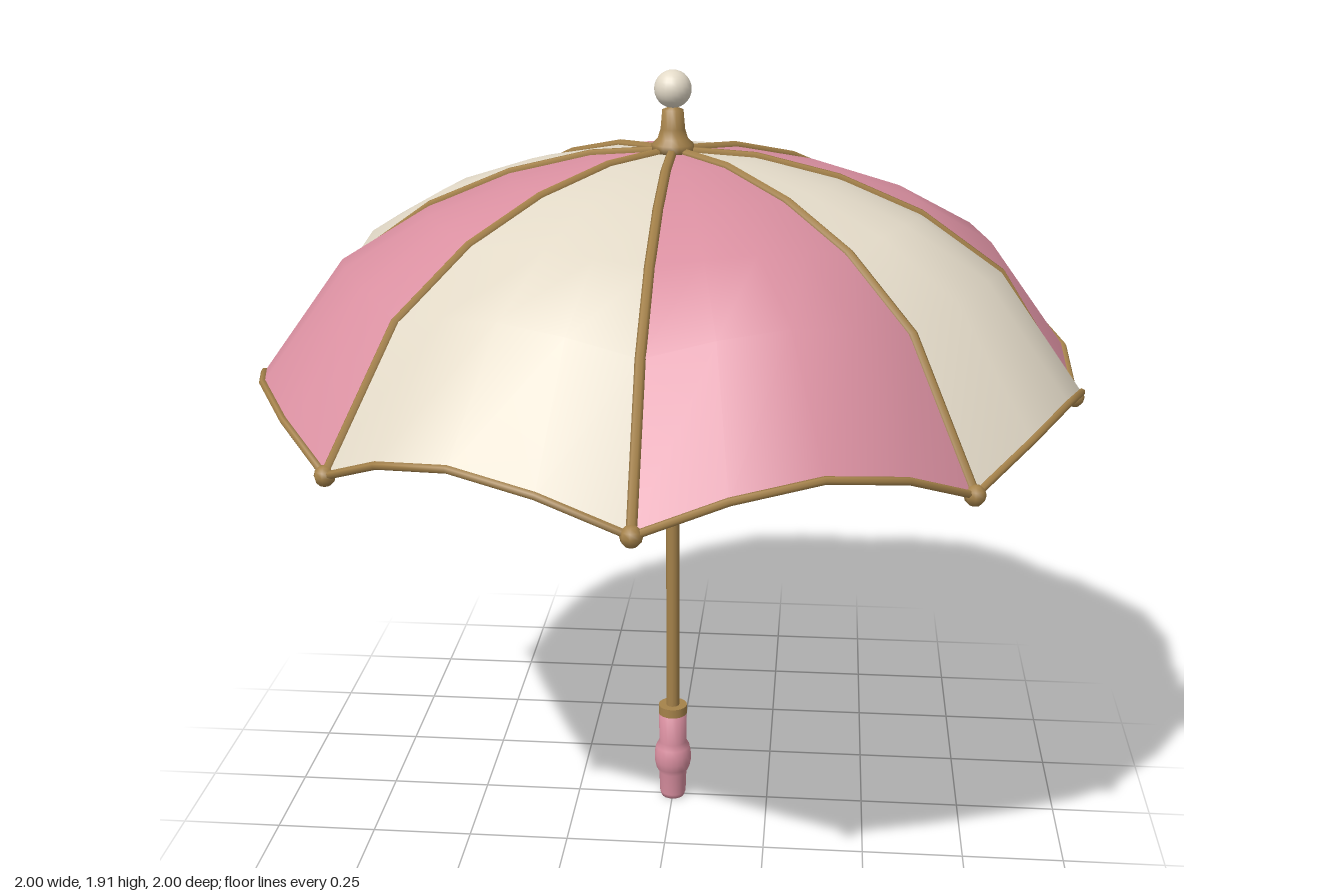
import * as THREE from 'three';

const PINK = 0xd98fa0, CREAM = 0xe3dac8, GOLD = 0xa5824a;
const PANELS = 8, STEP = (Math.PI * 2) / PANELS;
const RADIUS = 0.975, SCALLOP = 0.105;
// canopy height along a rib, at equal steps from crown to tip
const RIB_Y = [1.72, 1.707, 1.66, 1.578, 1.44, 1.135];
const RINGS = RIB_Y.length - 1;

const material = (color, side = THREE.FrontSide) => new THREE.MeshStandardMaterial({ color, side });
const pink = material(PINK), cream = material(CREAM), gold = material(GOLD);
const pinkCloth = material(PINK, THREE.DoubleSide), creamCloth = material(CREAM, THREE.DoubleSide);

// point on the canopy: panel index, u across the panel, t from crown to hem
function canopyPoint(panel, u, t) {
  const k = Math.min(Math.floor(t * RINGS), RINGS - 1);
  const y = THREE.MathUtils.lerp(RIB_Y[k], RIB_Y[k + 1], t * RINGS - k);
  const puff = Math.sin(Math.PI * u) * t ** 3;
  const r = RADIUS * t * (1 + 0.01 * puff);
  const a = (panel + u) * STEP;
  return new THREE.Vector3(Math.sin(a) * r, y + SCALLOP * puff, Math.cos(a) * r);
}

// curve sampled evenly in its own parameter
class RuleCurve extends THREE.Curve {
  constructor(rule) { super(); this.rule = rule; }
  getPoint(t) { return this.rule(t); }
  getPointAt(t) { return this.rule(t); }
  getTangentAt(t, target) { return this.getTangent(t, target); }
}

function add(parent, name, geometry, mat, x = 0, y = 0, z = 0) {
  const mesh = new THREE.Mesh(geometry, mat);
  mesh.name = name;
  mesh.position.set(x, y, z);
  parent.add(mesh);
  return mesh;
}

const tube = (rule, segments, radius) =>
  new THREE.TubeGeometry(new RuleCurve(rule), segments, radius, 6);

const lathe = (points, segments = 16) =>
  new THREE.LatheGeometry(points.map(([r, y]) => new THREE.Vector2(r, y)), segments);

function panelGeometry(panel) {
  const geometry = new THREE.PlaneGeometry(1, 1, 4, RINGS);
  const pos = geometry.attributes.position, uv = geometry.attributes.uv;
  for (let i = 0; i < pos.count; i++) {
    const p = canopyPoint(panel, uv.getX(i), 1 - uv.getY(i));
    pos.setXYZ(i, p.x, p.y, p.z);
  }
  geometry.computeVertexNormals();
  return geometry;
}

export function createModel() {
  const model = new THREE.Group();
  model.name = 'parasol';

  // canopy with its frame
  const canopy = new THREE.Group();
  canopy.name = 'canopy';
  model.add(canopy);
  for (let i = 0; i < PANELS; i++) {
    add(canopy, 'panel', panelGeometry(i), i % 2 ? creamCloth : pinkCloth);
    add(canopy, 'rib', tube((t) => canopyPoint(i, 0, t), RINGS, 0.012), gold);
    add(canopy, 'hem', tube((u) => canopyPoint(i, u, 1), 4, 0.009), gold);
    const tip = canopyPoint(i, 0, 1);
    add(canopy, 'ribTip', new THREE.SphereGeometry(0.024, 8, 6), gold, tip.x, tip.y, tip.z);

    // stretcher from the hub to the rib
    const end = canopyPoint(i, 0, 0.6);
    const start = new THREE.Vector3(0, 1.42, 0);
    add(canopy, 'stretcher', tube((t) => start.clone().lerp(end, t), 1, 0.008), gold);
  }

  // shaft, hub and the flared sleeve under the crown
  add(model, 'shaft', new THREE.CylinderGeometry(0.017, 0.017, 1.5, 12), gold, 0, 0.98, 0);
  add(model, 'hub', new THREE.CylinderGeometry(0.036, 0.036, 0.045, 12), gold, 0, 1.42, 0);
  add(model, 'crownSleeve', new THREE.CylinderGeometry(0.031, 0.02, 0.28, 12), gold, 0, 1.57, 0);

  // finial
  add(model, 'finialBase', lathe([
    [0, 1.715], [0.05, 1.715], [0.05, 1.735], [0.036, 1.748], [0.029, 1.77], [0.025, 1.815], [0, 1.825],
  ]), gold);
  add(model, 'finialBall', new THREE.SphereGeometry(0.044, 20, 14), cream, 0, 1.863, 0);

  // handle
  add(model, 'grip', lathe([
    [0, 0], [0.03, 0], [0.034, 0.012], [0.036, 0.07], [0.044, 0.085], [0.048, 0.105],
    [0.048, 0.125], [0.044, 0.145], [0.036, 0.16], [0.036, 0.245], [0, 0.245],
  ], 20), pink);
  add(model, 'gripCollar', new THREE.CylinderGeometry(0.037, 0.037, 0.024, 20), gold, 0, 0.253, 0);

  return model;
}
